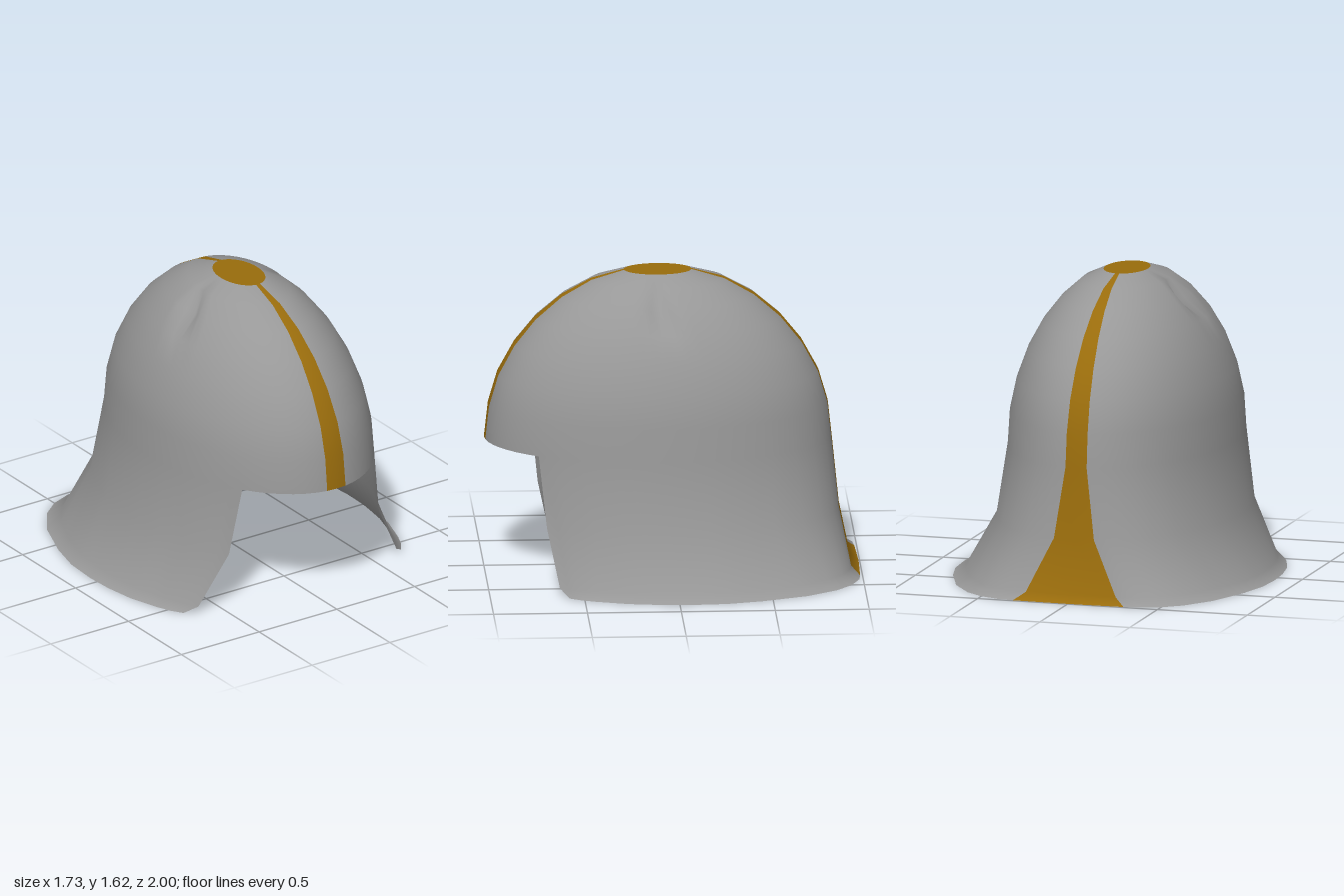
import * as THREE from 'three';

const SEG = 64; // steps around the shell, counted from the front towards +x
const CENTRE_Z = 0.075;

// Dome rings: height, half width, half depth
const DOME = [
  [1.62, 0.118, 0.18], [1.57, 0.228, 0.355], [1.48, 0.33, 0.515], [1.36, 0.423, 0.655],
  [1.22, 0.498, 0.768], [1.06, 0.555, 0.855], [0.89, 0.59, 0.905], [0.71, 0.6, 0.925],
];
// Flared neck guard: height, share of the way to the hem in x and in z
const FLARE = [[0.33, 0.21, 0.27], [0.04, 0.77, 0.68], [0, 1, 1]];
// Hem outline (x, z), every second step from the back to the front corner
const HEM = [
  [0.23, -0.995], [0.385, -0.98], [0.5, -0.935], [0.6, -0.855], [0.715, -0.69], [0.81, -0.44],
  [0.855, -0.25], [0.866, -0.06], [0.857, 0.1], [0.83, 0.27], [0.775, 0.44], [0.74, 0.52], [0.7, 0.58],
];

function hemPoint(k) {
  const j = Math.min(Math.abs(k - SEG / 2), 24);
  const side = k < SEG / 2 ? 1 : -1;
  if (j === 0) return [0, -0.995];
  const a = HEM[Math.floor(j / 2)], b = HEM[Math.ceil(j / 2)];
  return [side * (a[0] + b[0]) / 2, (a[1] + b[1]) / 2];
}

function domePoint(k, [, rx, rz]) {
  const a = (k / SEG) * Math.PI * 2;
  return [rx * Math.sin(a), CENTRE_Z + rz * Math.cos(a)];
}

export function createModel() {
  const steel = new THREE.MeshStandardMaterial({ color: 0x989898, side: THREE.DoubleSide });
  steel.name = 'grey steel';
  const gold = new THREE.MeshStandardMaterial({ color: 0x996c0c, side: THREE.DoubleSide });
  gold.name = 'dark gold';

  // Cross-sections from the crown down to the hem
  const pos = [];
  DOME.forEach((ring, r) => {
    for (let k = 0; k < SEG; k++) {
      let [x, z] = domePoint(k, ring);
      let y = ring[0];
      // Small dent high on each side
      const off = Math.min(Math.abs(k - SEG / 4), Math.abs(k - 3 * SEG / 4));
      if (r === 2 && off < 2) {
        const depth = 0.05 * (1 - off / 2);
        x -= Math.sign(x) * depth;
        y -= depth * 0.6;
      }
      pos.push(x, y, z);
    }
  });
  for (const [y, tx, tz] of FLARE) {
    for (let k = 0; k < SEG; k++) {
      const [x0, z0] = domePoint(k, DOME[DOME.length - 1]);
      const [x1, z1] = hemPoint(k);
      pos.push(x0 + (x1 - x0) * tx, y, z0 + (z1 - z0) * tz);
    }
  }

  // Faces: stripes run down the front and back, the neck guard is open at the face
  const plates = [], stripes = [];
  const rows = DOME.length + FLARE.length;
  for (let r = 0; r < rows - 1; r++) {
    for (let k = 0; k < SEG; k++) {
      if (r >= DOME.length - 1 && (k < SEG / 8 || k >= SEG * 7 / 8)) continue;
      const n = (k + 1) % SEG;
      const a = r * SEG + k, b = a + SEG, c = (r + 1) * SEG + n, d = r * SEG + n;
      const isStripe = k % (SEG / 2) === 0 || n % (SEG / 2) === 0;
      (isStripe ? stripes : plates).push(a, b, c, a, c, d);
    }
  }

  // Shared smooth normals keep the stripes flush with the shell
  const whole = new THREE.BufferGeometry();
  whole.setAttribute('position', new THREE.Float32BufferAttribute(pos, 3));
  whole.setIndex([...plates, ...stripes]);
  whole.computeVertexNormals();

  const group = new THREE.Group();
  group.name = 'helmet';
  const addPart = (name, geometry, material) => {
    const mesh = new THREE.Mesh(geometry, material);
    mesh.name = name;
    group.add(mesh);
    return mesh;
  };
  const subset = (index) => {
    const g = whole.clone();
    g.setIndex(index);
    return g.toNonIndexed();
  };
  addPart('shell', subset(plates), steel);
  addPart('centreStripes', subset(stripes), gold);

  // Flat crown disc
  const disc = new THREE.CircleGeometry(1, SEG);
  disc.rotateX(-Math.PI / 2);
  disc.scale(DOME[0][1], 1, DOME[0][2]);
  addPart('crownDisc', disc, gold).position.set(0, DOME[0][0], CENTRE_Z);

  return group;
}
